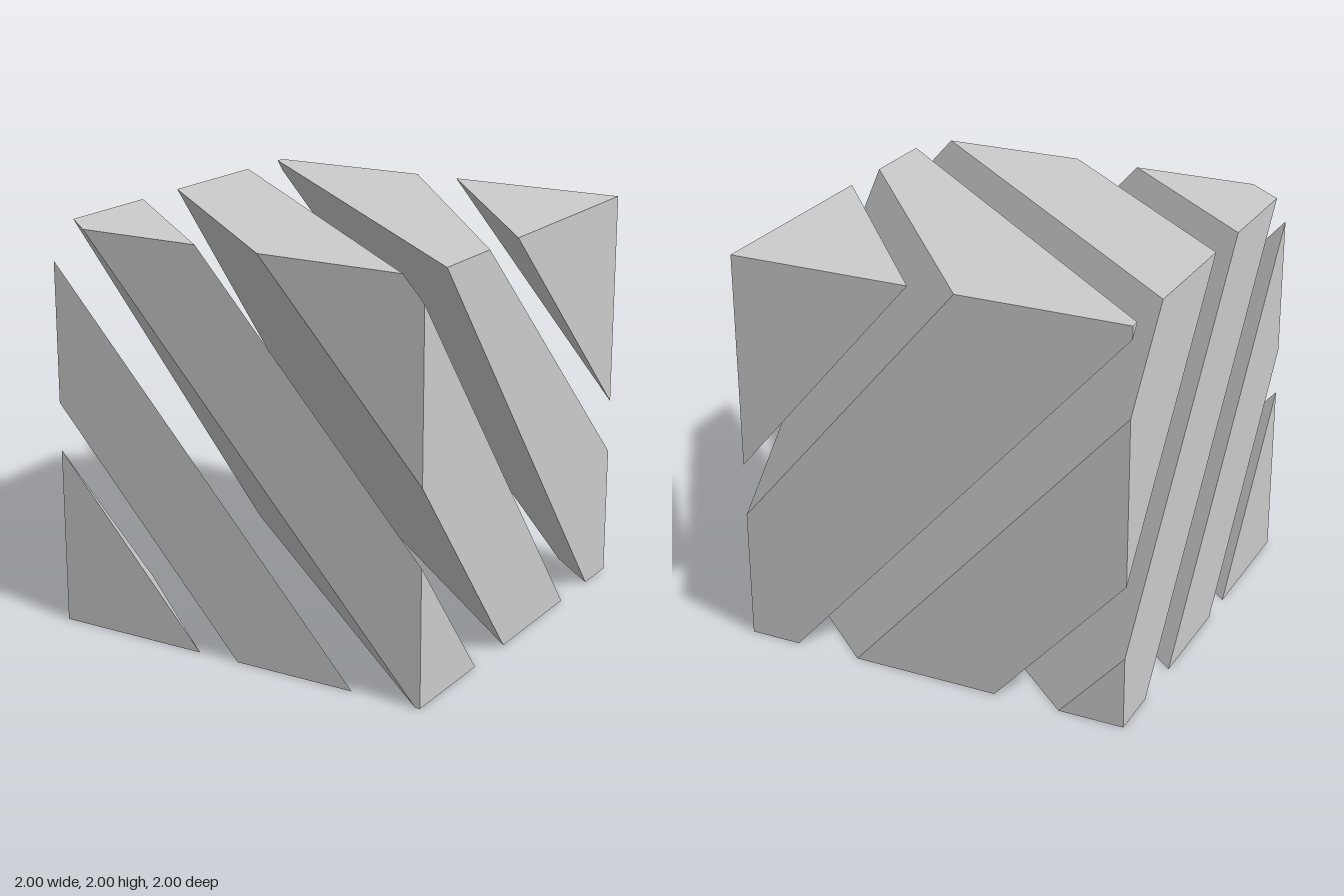
import * as THREE from 'three';
import { ConvexGeometry } from 'three/addons/geometries/ConvexGeometry.js';

// Cut directions: each cut plane satisfies dot(direction, point) = offset
const MAIN = new THREE.Vector3(-0.877, -0.787, 1);
const STEEP = new THREE.Vector3(-1.217, -1.042, 1);

// Corners and edges of the 2 x 2 x 2 cube standing on y = 0
const corners = [];
for (const x of [-1, 1]) for (const y of [0, 2]) for (const z of [-1, 1]) corners.push(new THREE.Vector3(x, y, z));
const edges = [];
for (let i = 0; i < 8; i++) for (const bit of [1, 2, 4]) if (!(i & bit)) edges.push([corners[i], corners[i | bit]]);

// Slab of the cube between a lower and an upper cut; the cuts never meet inside the cube
function slabGeometry(low, high) {
  const cuts = [low, high].filter(Boolean);
  const inside = (p) => (!low || low.dir.dot(p) > low.at) && (!high || high.dir.dot(p) < high.at);
  const points = corners.filter(inside).map((p) => p.clone());
  for (const { dir, at } of cuts) {
    for (const [a, b] of edges) {
      const da = dir.dot(a) - at, db = dir.dot(b) - at;
      if (da * db < 0) points.push(a.clone().lerp(b, da / (da - db)));
    }
  }
  return new ConvexGeometry(points);
}

export function createModel() {
  const group = new THREE.Group();
  group.name = 'slicedCube';
  const material = new THREE.MeshStandardMaterial({ color: 0xcccccc, flatShading: true });
  const main = (at) => ({ dir: MAIN, at });
  const steep = (at) => ({ dir: STEEP, at });

  // Pieces from the upper back corner to the lower front corner
  const pieces = [
    ['upperBackCorner', null, steep(-3.182)],
    ['backSlab', steep(-2.9), main(-1.648)],
    ['upperMiddleSlab', main(-1.357), main(-0.705)],
    ['lowerMiddleSlab', main(-0.411), main(0.145)],
    ['frontSlab', main(0.438), main(0.99)],
    ['lowerFrontCorner', main(1.18), null],
  ];
  for (const [name, low, high] of pieces) {
    const mesh = new THREE.Mesh(slabGeometry(low, high), material);
    mesh.name = name;
    group.add(mesh);
  }
  return group;
}
